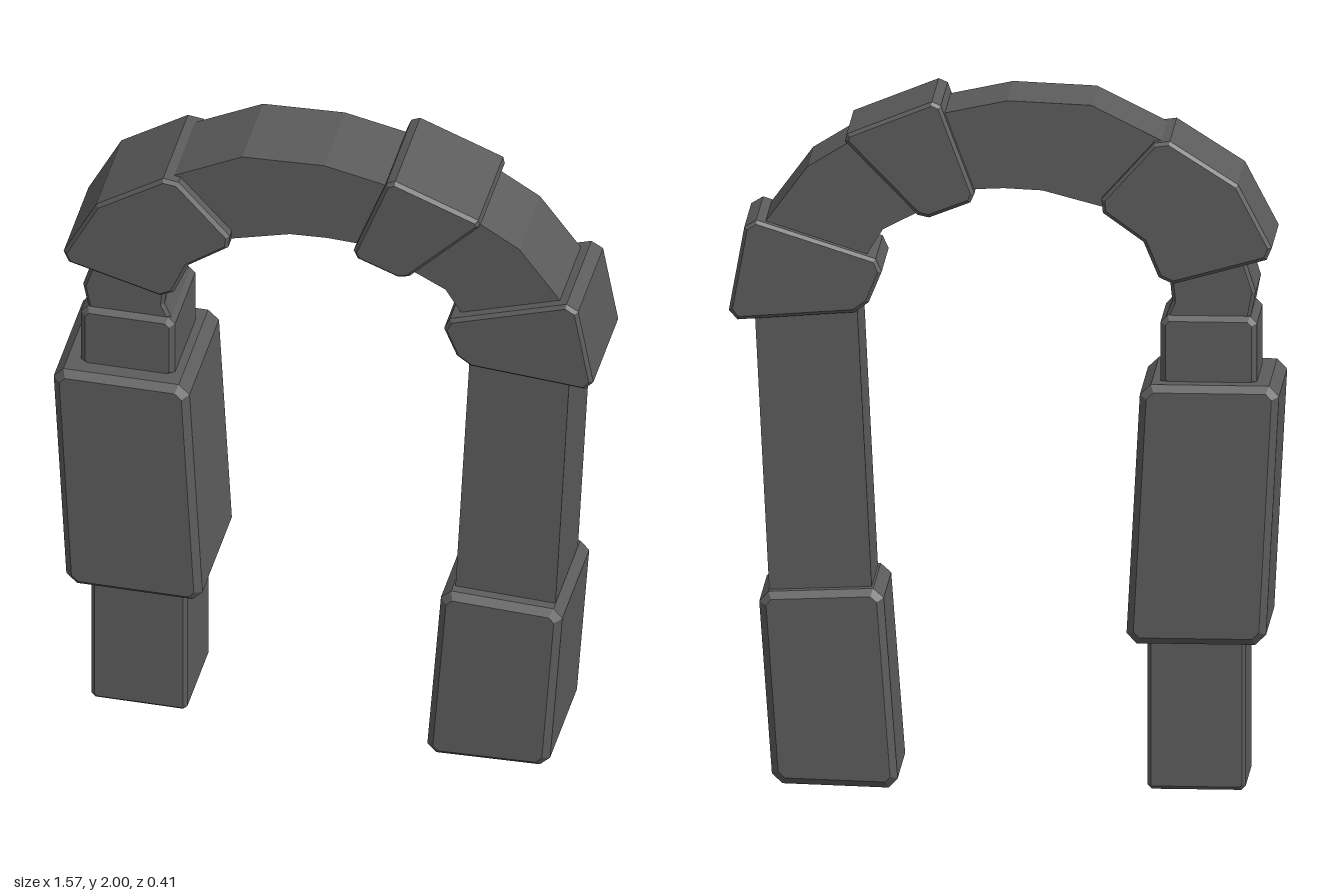
import * as THREE from 'three';

// Cuts only the sharp corners of an outline, leaving gentle arch bends alone
function cutCorners(points, cut) {
  const pts = points.map(([x, y]) => new THREE.Vector2(x, y));
  const out = [];
  pts.forEach((p, i) => {
    const a = pts[(i + pts.length - 1) % pts.length].clone().sub(p).normalize();
    const b = pts[(i + 1) % pts.length].clone().sub(p).normalize();
    if (cut > 0 && a.dot(b) > -0.7) {
      out.push(p.clone().addScaledVector(a, cut), p.clone().addScaledVector(b, cut));
    } else out.push(p);
  });
  return out;
}

export function createModel() {
  const group = new THREE.Group();
  group.name = 'stoneArch';
  const stone = new THREE.MeshStandardMaterial({ color: 0x5c5c5c });
  stone.name = 'dark stone';

  // Stone block from a front outline, centred on z, with chamfered front and back rims
  function block(name, outline, halfDepth, cut = 0.025, bevel = 0.015) {
    const geo = new THREE.ExtrudeGeometry(new THREE.Shape(cutCorners(outline, cut)), {
      depth: 2 * (halfDepth - bevel),
      bevelEnabled: bevel > 0,
      bevelSize: bevel,
      bevelThickness: bevel,
      bevelOffset: -bevel,
      bevelSegments: 1,
    });
    geo.translate(0, 0, bevel - halfDepth);
    const mesh = new THREE.Mesh(geo, stone);
    mesh.name = name;
    group.add(mesh);
  }

  // Pillar on the -x side
  block('rightPillarFoot', [[-0.69, 0], [-0.41, 0], [-0.41, 0.46], [-0.69, 0.46]], 0.14, 0.012, 0.01);
  block('rightPillarBlock', [[-0.75, 0.435], [-0.352, 0.435], [-0.393, 1.19], [-0.79, 1.19]], 0.203, 0.03, 0.02);
  block('rightPillarNeck', [[-0.722, 1.17], [-0.447, 1.17], [-0.447, 1.38], [-0.722, 1.38]], 0.14, 0.02);
  block('rightPillarCollar', [[-0.7, 1.36], [-0.455, 1.36], [-0.48, 1.42], [-0.465, 1.56],
    [-0.67, 1.6], [-0.718, 1.45]], 0.125, 0, 0.01);

  // Ring of arch stones, wide and narrow in turn
  block('rightShoulderStone', [[-0.78, 1.56], [-0.455, 1.47], [-0.4, 1.6], [-0.26, 1.7],
    [-0.45, 1.91], [-0.67, 1.77]], 0.165, 0.03, 0.01);
  block('crownStone', [[-0.3, 1.69], [-0.11, 1.74], [0, 1.745], [0.1, 1.74], [0.19, 1.957],
    [-0.01, 2], [-0.25, 1.99], [-0.45, 1.89]], 0.13, 0, 0);
  block('wedgeStone', [[0.075, 1.715], [0.23, 1.655], [0.465, 1.895], [0.185, 2.007]], 0.165, 0.02, 0.01);
  block('curvedStone', [[0.21, 1.69], [0.345, 1.62], [0.4, 1.53], [0.69, 1.625], [0.56, 1.8],
    [0.43, 1.88]], 0.13, 0, 0);
  block('leftShoulderStone', [[0.395, 1.385], [0.788, 1.355], [0.733, 1.657], [0.335, 1.53]], 0.165, 0.03, 0.01);

  // Pillar on the +x side
  block('leftPillarShaft', [[0.375, 0.56], [0.668, 0.56], [0.71, 1.39], [0.418, 1.41]], 0.14, 0, 0);
  block('leftPillarFoot', [[0.298, 0], [0.657, 0.01], [0.697, 0.567], [0.342, 0.582]], 0.187, 0.028, 0.02);

  return group;
}
